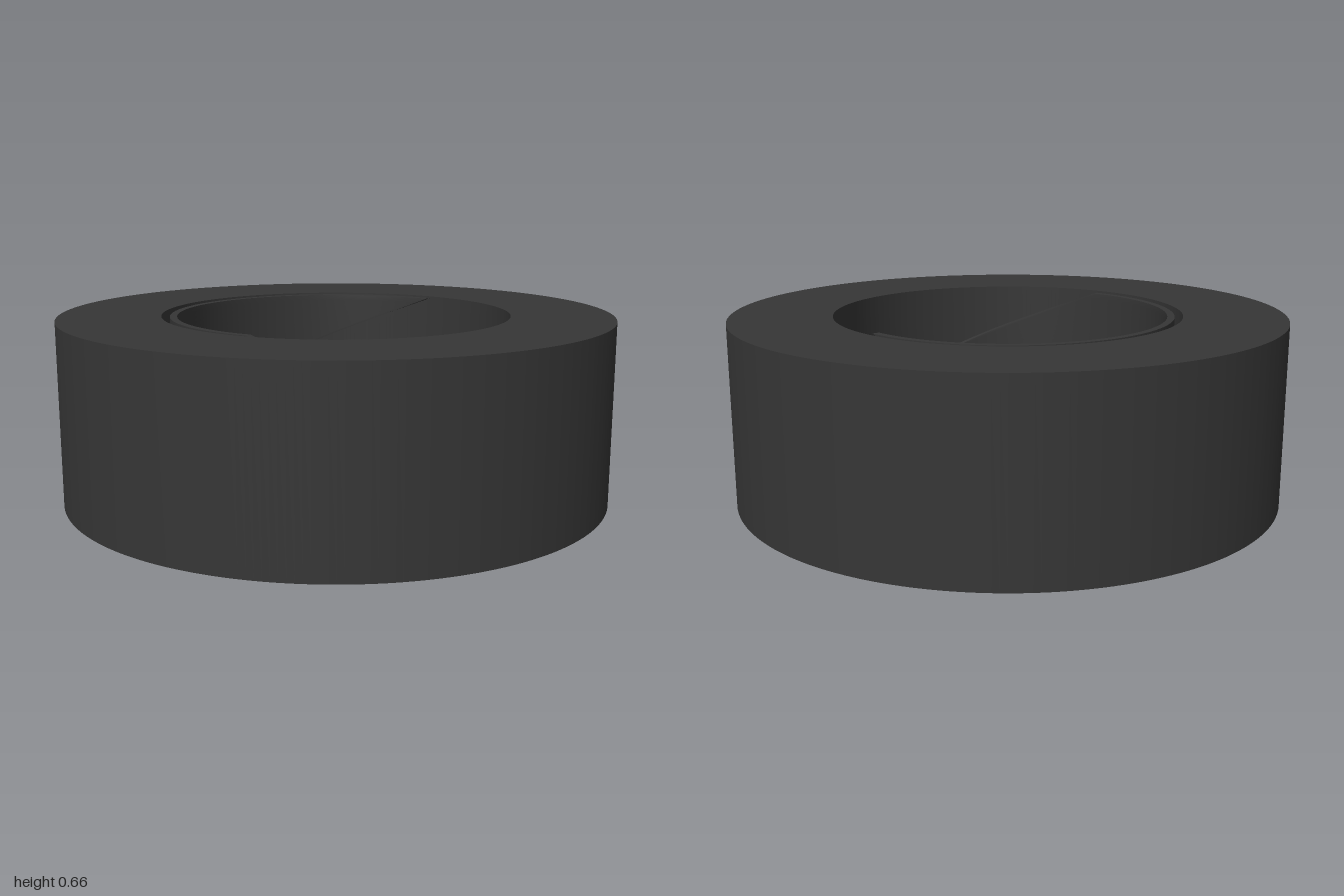
import * as THREE from 'three';

const HEIGHT = 0.66;
const deg = THREE.MathUtils.degToRad;

export function createModel() {
  const model = new THREE.Group();
  const charcoal = new THREE.MeshStandardMaterial({ color: 0x363636 });
  charcoal.name = 'charcoal';

  const add = (name, geometry) => {
    const mesh = new THREE.Mesh(geometry, charcoal);
    mesh.name = name;
    model.add(mesh);
  };

  // Thick outer ring with a round bore
  const ring = new THREE.Shape().absarc(0, 0, 1, 0, Math.PI * 2);
  ring.holes.push(new THREE.Path().absarc(0, 0, 0.632, 0, Math.PI * 2, true));
  const ringGeometry = new THREE.ExtrudeGeometry(ring, {
    depth: HEIGHT, bevelEnabled: false, curveSegments: 128,
  });
  ringGeometry.rotateX(-Math.PI / 2);
  add('outerRing', ringGeometry);

  // Thin strip that climbs the bore as a helix, standing clear of the wall:
  // a box is bent so its width runs around the axis and its depth points inward
  const strip = new THREE.BoxGeometry(1, 1, 1, 96, 32, 1);
  const p = strip.attributes.position;
  for (let i = 0; i < p.count; i++) {
    const rise = p.getY(i) + 0.5;
    const angle = deg(-90 + 191 * (p.getX(i) + 0.5) + 165 * rise);
    const radius = 0.589 - p.getZ(i) * 0.026;
    p.setXYZ(i, radius * Math.cos(angle), 0.003 + rise * (HEIGHT - 0.006), radius * Math.sin(angle));
  }
  strip.computeVertexNormals();
  add('helicalInnerStrip', strip);

  return model;
}
